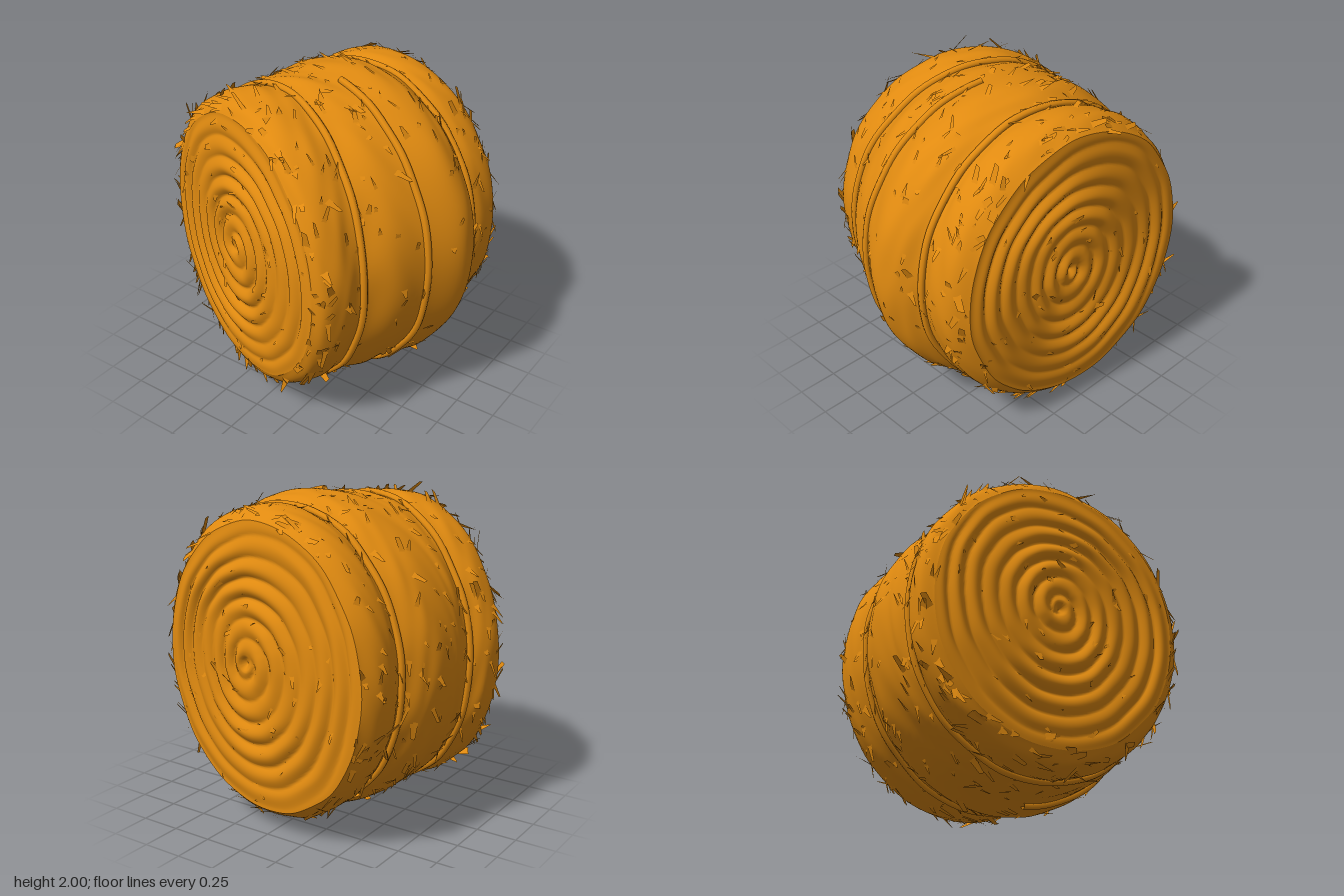
import * as THREE from 'three';

const SEG = 128, CY = 0.98;

// Cross-sections front to back: left x, left z, right x, right z, vertical radius
const stations = [
  [-0.91, 0.34, 0.50, 0.85, 0.83],
  [-0.96, 0.27, 0.57, 0.82, 0.90],
  [-0.94, 0.16, 0.63, 0.72, 0.93],
  [-0.87, 0.07, 0.66, 0.58, 0.915],
  [-0.88, -0.03, 0.78, 0.42, 0.94],
  [-0.88, -0.12, 0.86, 0.22, 0.945],
  [-0.87, -0.27, 0.98, 0.00, 0.97],
  [-0.83, -0.38, 0.95, -0.16, 0.955],
  [-0.75, -0.50, 0.87, -0.28, 0.90],
  [-0.77, -0.60, 0.89, -0.38, 0.925],
  [-0.76, -0.72, 0.89, -0.52, 0.92],
  [-0.70, -0.82, 0.82, -0.62, 0.855],
];
const LAST = stations.length - 1;

function seeded(seed) {
  return () => {
    seed = (seed * 1664525 + 1013904223) % 4294967296;
    return seed / 4294967296;
  };
}

// Smoothly blended cross-section at station t
function section(t) {
  const i = Math.min(LAST - 1, Math.max(0, Math.floor(t))), f = t - i;
  const at = (k) => stations[Math.min(LAST, Math.max(0, k))];
  return stations[0].map((_, j) => {
    const [a, b, c, d] = [at(i - 1)[j], at(i)[j], at(i + 1)[j], at(i + 2)[j]];
    return b + 0.5 * f * (c - a + f * (2 * a - 5 * b + 4 * c - d + f * (3 * (b - c) + d - a)));
  });
}

// Point on the wrapped side, angle 0 at the +x end; the front groove arcs back over the top
function sidePoint(t, a) {
  const [lx, lz, rx, rz, rv] = section(t);
  const lump = 1 + 0.005 * Math.sin(5 * a + t * 2.1) * Math.sin(t * 1.7 + 3 * a)
    + 0.004 * Math.sin(13 * a + 4 * Math.sin(t * 1.3)) * Math.sin(t * 3.1 + 2 * a);
  const c = Math.cos(a) * 0.5 * lump;
  const arc = 0.07 * Math.max(0, Math.sin(a)) ** 2 * Math.exp(-(((t - 3) / 1.5) ** 2));
  return new THREE.Vector3(
    (lx + rx) / 2 + c * (rx - lx),
    CY + Math.sin(a) * rv * lump,
    (lz + rz) / 2 + c * (rz - lz) - arc);
}

// Point on a rolled end: a spiral of uneven rounded ridges, the back one off centre
function endPoint(t, r, a) {
  const [lx, lz, rx, rz] = section(t);
  const front = t === 0, dir = front ? 1 : -1;
  const centre = new THREE.Vector3((lx + rx) / 2, CY + 0.02, (lz + rz) / 2);
  const n = new THREE.Vector3(-(rz - lz), 0, rx - lx).normalize();
  if (!front) centre.add(new THREE.Vector3(0.08, 0.01, 0.01));
  const fade = Math.min(1, 8 * (1 - r)) * Math.min(1, 14 * r);
  const wobble = 0.5 * Math.sin(2 * a + 1) * r + 0.35 * Math.sin(3 * a + 5 * r) * r;
  const ridge = Math.abs(Math.sin(Math.PI * 7 * r + dir * a / 2 + wobble));
  const depth = 0.026 + 0.01 * Math.sin(9 * r + 2 * a);
  const h = 0.035 * (1 - r * r) + fade * depth * (ridge - 0.55) - 0.03 * Math.max(0, 1 - r * 18);
  return centre.lerp(sidePoint(t, a), r).addScaledVector(n, dir * h);
}

// Closed ring grid from a point rule, u running 0..1 front to back
function ringGrid(rows, rule) {
  const pos = [], index = [];
  for (let i = 0; i <= rows; i++) {
    for (let j = 0; j < SEG; j++) {
      pos.push(...rule(i / rows, j / SEG * Math.PI * 2).toArray());
      if (i === rows) continue;
      const k = (j + 1) % SEG, a = i * SEG + j, b = i * SEG + k;
      index.push(a, a + SEG, b + SEG, a, b + SEG, b);
    }
  }
  const g = new THREE.BufferGeometry();
  g.setAttribute('position', new THREE.Float32BufferAttribute(pos, 3));
  g.setIndex(index);
  g.computeVertexNormals();
  return g;
}

// Surface frame: point, two tangents and outward normal
function frame(rule, u, a) {
  const e = 0.01, p = rule(u, a);
  const across = rule(u + e, a).sub(rule(u - e, a)).normalize();
  const around = rule(u, a + e).sub(rule(u, a - e)).normalize();
  const normal = across.clone().cross(around).normalize();
  return { p, across, around, normal };
}

// Tapered flakes of straw lifting slightly off a surface
function strawFlakes(rule, count, uMin, uMax, size, lean, seed) {
  const rand = seeded(seed), pos = [];
  for (let i = 0; i < count; i++) {
    const u = uMin + (uMax - uMin) * rand();
    const { p, across, around, normal } = frame(rule, u, rand() * Math.PI * 2);
    const turn = (rand() - 0.5) * 1.2 + (rand() < 0.35 ? Math.PI : 0);
    const along = around.clone().multiplyScalar(Math.cos(turn)).addScaledVector(across, Math.sin(turn));
    const wide = normal.clone().cross(along).normalize();
    const len = size * (0.5 + rand()), w = size * (0.12 + 0.2 * rand());
    const lift = len * lean * (0.6 + 0.8 * rand()), tip = w * rand() * 0.8;
    const corner = (l, s, h) => p.clone().addScaledVector(along, l)
      .addScaledVector(wide, s).addScaledVector(normal, h).toArray();
    const a = corner(0, -w, -0.006), b = corner(0, w, -0.006);
    const c = corner(len, tip, lift), d = corner(len * 0.9, -tip, lift * 0.9);
    pos.push(...a, ...c, ...b, ...a, ...d, ...c);
  }
  const g = new THREE.BufferGeometry();
  g.setAttribute('position', new THREE.Float32BufferAttribute(pos, 3));
  g.computeVertexNormals();
  return g;
}

// Cord following the side between two angles
function cord(t0, t1, a0, a1, closed) {
  const pts = [];
  const steps = 72;
  for (let i = 0; i < steps + (closed ? 0 : 1); i++) {
    const f = i / steps, a = a0 + (a1 - a0) * f;
    const t = t0 + (t1 - t0) * Math.abs(2 * f - 1) ** 2;
    const { p, normal } = frame(sidePoint, t, a);
    pts.push(p.addScaledVector(normal, 0.006));
  }
  return new THREE.TubeGeometry(new THREE.CatmullRomCurve3(pts, closed), 160, 0.022, 8, closed);
}

export function createModel() {
  const group = new THREE.Group();
  const straw = new THREE.MeshStandardMaterial({ color: 0xe08a10, side: THREE.DoubleSide });
  straw.name = 'golden straw';
  const add = (name, geometry) => {
    const mesh = new THREE.Mesh(geometry, straw);
    mesh.name = name;
    group.add(mesh);
  };

  // Rolled body and its two spiral ends
  const frontRule = (u, a) => endPoint(0, u, a);
  const backRule = (u, a) => endPoint(LAST, 1 - u, a);
  add('baleSide', ringGrid(88, (u, a) => sidePoint(u * LAST, a)));
  add('frontSpiral', ringGrid(90, frontRule));
  add('backSpiral', ringGrid(90, backRule));

  // Binding cords: two full loops and one half-buried loop
  add('frontCord', cord(3, 3, 0, Math.PI * 2, true));
  add('backCord', cord(8, 8, 0, Math.PI * 2, true));
  add('middleCord', cord(5, 5.25, -1.5, 1.45, false));

  // Loose straw
  add('sideStraw', strawFlakes(sidePoint, 420, 0.3, LAST - 0.3, 0.085, 0.22, 7));
  add('frontRimStraw', strawFlakes(sidePoint, 90, 0.1, 1.8, 0.085, 0.4, 19));
  add('backRimStraw', strawFlakes(sidePoint, 80, LAST - 1.6, LAST - 0.1, 0.08, 0.3, 31));
  add('frontStraw', strawFlakes(frontRule, 60, 0.2, 0.97, 0.07, 0.12, 43));
  add('backStraw', strawFlakes(backRule, 60, 0.03, 0.8, 0.07, 0.12, 57));

  return group;
}
